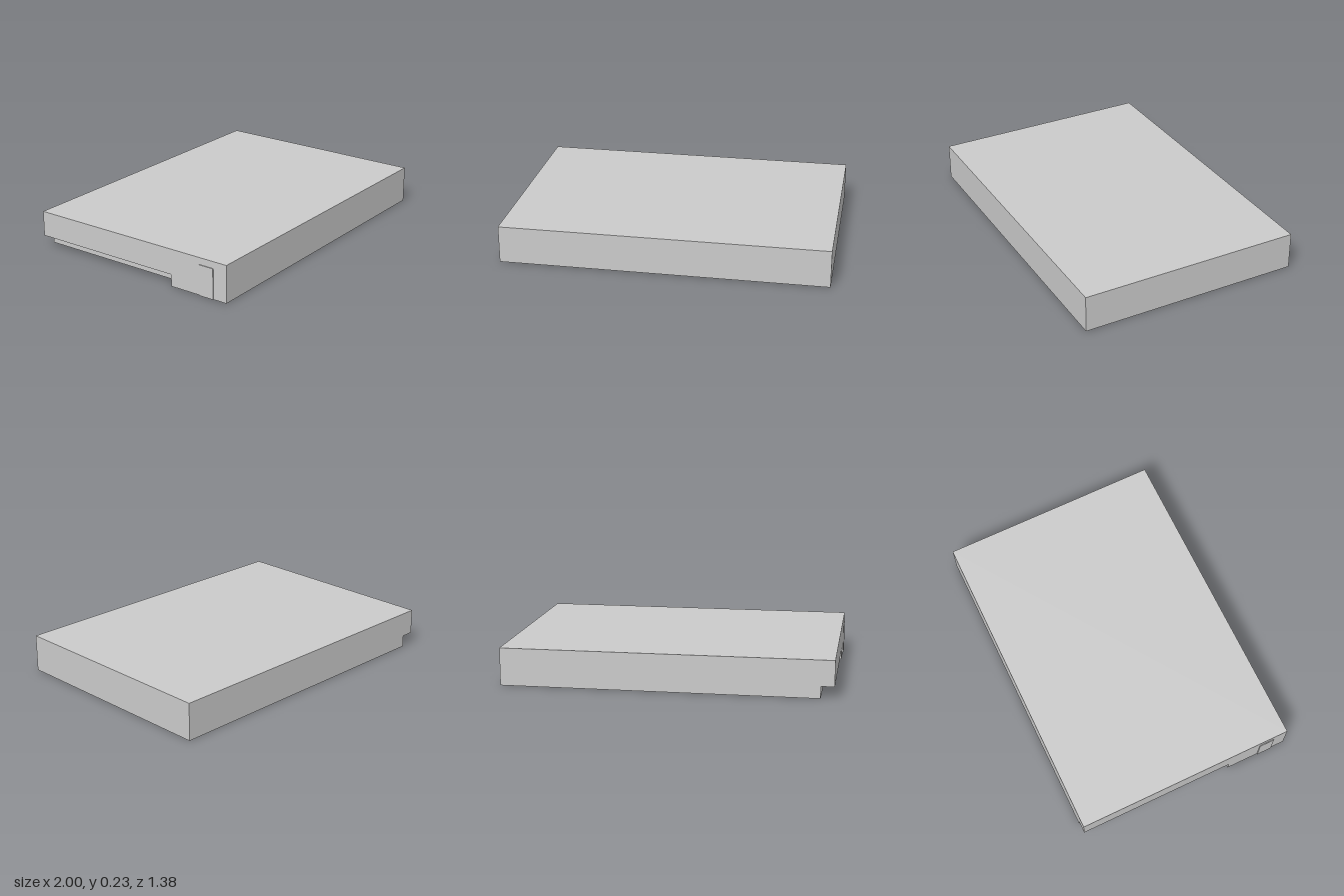
import * as THREE from 'three';

const H = 0.23, D = 0.69;              // height, half depth
const WALL = -0.995;                   // plane of the wall with the raised tab
const STEP_X = -0.915, STEP_Y = 0.073, STEP_Z = 0.3; // undercut along that wall
const TAB = { z0: 0.505, z1: 0.6, top: 0.188 };

export function createModel() {
  const group = new THREE.Group();
  const material = new THREE.MeshStandardMaterial({ color: 0xcccccc, flatShading: true, side: THREE.DoubleSide });

  // Thin flat sheet: 2D outline, turned about x and y, then moved into place
  function sheet(name, outline, rx, ry, x, y, z) {
    const shape = new THREE.Shape(outline.map(([a, b]) => new THREE.Vector2(a, b)));
    const geometry = new THREE.ShapeGeometry(shape).rotateX(rx).rotateY(ry).translate(x, y, z);
    const mesh = new THREE.Mesh(geometry, material);
    mesh.name = name;
    group.add(mesh);
  }
  const rect = (a0, b0, a1, b1) => [[a0, b0], [a1, b0], [a1, b1], [a0, b1]];
  const Q = Math.PI / 2;

  // Top and plain walls of the open-bottomed tray
  sheet('top', rect(WALL, -D, 1, D), -Q, 0, 0, H, 0);
  sheet('frontWall', rect(WALL, 0, 1, H), 0, 0, 0, 0, D);
  sheet('leftWall', rect(-D, 0, D, H), 0, Q, 1, 0, 0);

  // Back wall, notched at the lower corner (outline is mirrored in x)
  sheet('backWall', [[-1, 0], [-STEP_X, 0], [-STEP_X, STEP_Y], [-WALL, STEP_Y], [-WALL, H], [-1, H]],
    0, Math.PI, 0, 0, -D);

  // Right wall with the undercut and the opening behind the tab
  sheet('rightWall', [
    [-D, STEP_Y], [STEP_Z, STEP_Y], [STEP_Z, 0], [TAB.z0, 0], [TAB.z0, TAB.top],
    [TAB.z1, TAB.top], [TAB.z1, 0], [D, 0], [D, H], [-D, H],
  ], 0, -Q, WALL, 0, 0);

  // Undercut: recessed wall, ledge and end
  sheet('recessWall', rect(-D, 0, STEP_Z, STEP_Y), 0, -Q, STEP_X, 0, 0);
  sheet('recessLedge', rect(WALL, -STEP_Z, STEP_X, D), -Q, 0, 0, STEP_Y, 0);
  sheet('recessEnd', rect(WALL, 0, STEP_X, STEP_Y), 0, 0, 0, 0, STEP_Z);

  // Raised tab: face, two sides and top
  sheet('tabFace', rect(TAB.z0, 0, TAB.z1, TAB.top), 0, -Q, -1, 0, 0);
  for (const z of [TAB.z0, TAB.z1]) sheet('tabSide', rect(-1, 0, WALL, TAB.top), 0, 0, 0, 0, z);
  sheet('tabTop', rect(-1, -TAB.z1, WALL, -TAB.z0), -Q, 0, 0, TAB.top, 0);

  return group;
}
